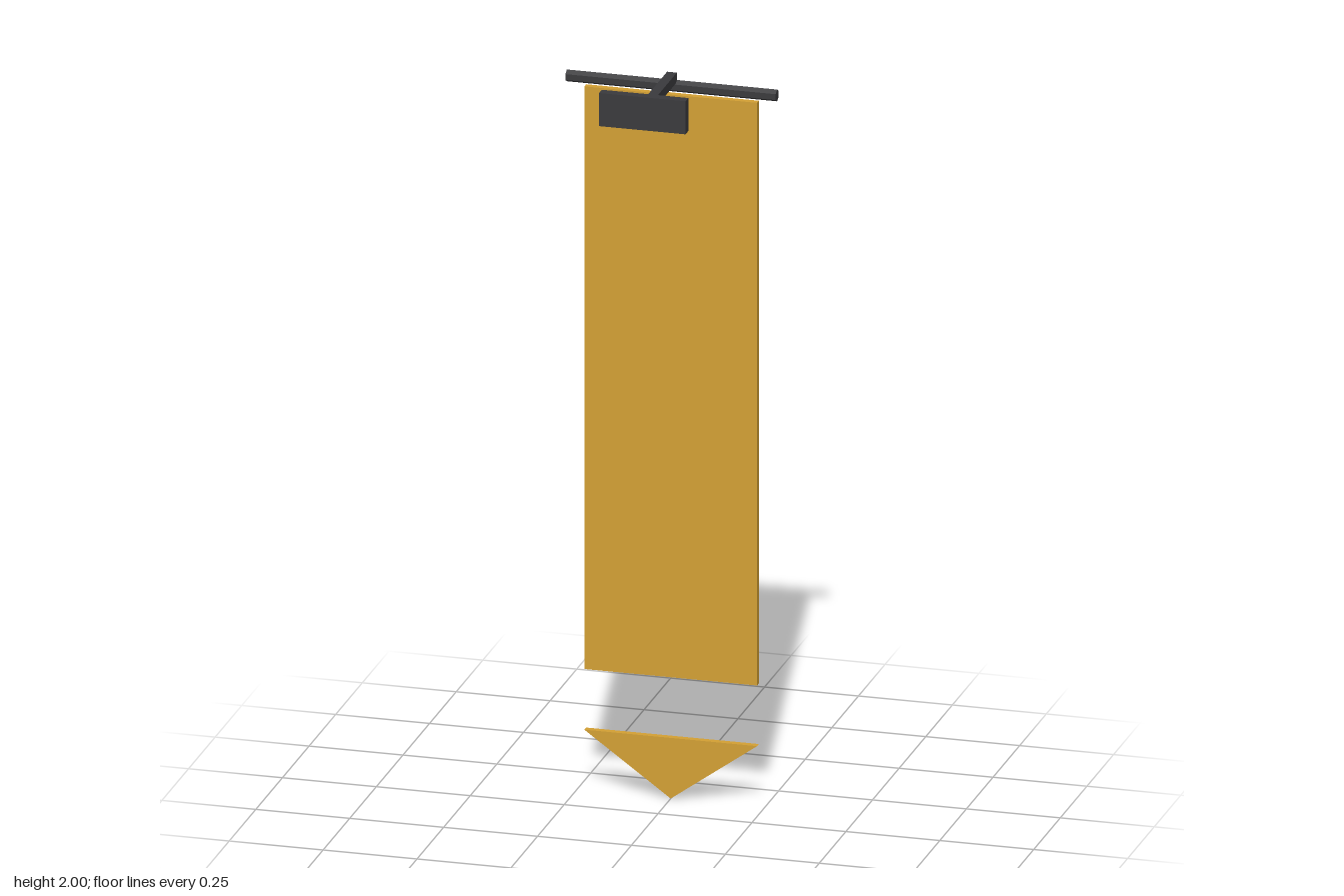
import * as THREE from 'three';

const paint = (color) => new THREE.MeshStandardMaterial({ color, flatShading: true });

export function createModel() {
  const model = new THREE.Group();
  const gold = paint(0xd4a134);
  const iron = paint(0x3a3a3d);
  const silver = paint(0xd3d1cb);

  const add = (name, geometry, material) => {
    const mesh = new THREE.Mesh(geometry, material);
    mesh.name = name;
    model.add(mesh);
    return mesh;
  };

  // Box given by its limits on each axis
  const box = (name, material, [x0, x1], [y0, y1], [z0, z1]) =>
    add(name, new THREE.BoxGeometry(x1 - x0, y1 - y0, z1 - z0), material)
      .position.set((x0 + x1) / 2, (y0 + y1) / 2, (z0 + z1) / 2);

  // Flat plate cut from an outline in x, y
  const plate = (name, material, points, [z0, z1]) => {
    const shape = new THREE.Shape(points.map(([x, y]) => new THREE.Vector2(x, y)));
    const geometry = new THREE.ExtrudeGeometry(shape, { depth: z1 - z0, bevelEnabled: false });
    add(name, geometry, material).position.z = z0;
  };

  // Wall bracket: mounting plate, arm and six-sided hanging rod
  box('wallPlate', iron, [-0.115, 0.115], [1.91, 2], [0.122, 0.148]);
  box('bracketArm', iron, [-0.013, 0.013], [1.946, 1.972], [-0.131, 0.122]);
  const rodGeometry = new THREE.CylinderGeometry(0.016, 0.016, 0.56, 6);
  rodGeometry.rotateY(Math.PI / 6).rotateZ(Math.PI / 2);
  add('hangingRod', rodGeometry, iron).position.set(0, 1.936, -0.131);

  // Banner cloth and the separate pointed tip below it
  const cloth = [-0.136, -0.119];
  box('bannerCloth', gold, [-0.23, 0.23], [0.33, 1.915], cloth);
  plate('bannerTip', gold, [[-0.23, 0.165], [0, 0], [0.23, 0.165]], cloth);

  // Open book emblem on the back: mirrored pages and a spine
  for (const [name, s] of [['leftPage', 1], ['rightPage', -1]]) {
    const outline = [[0.01, 1.385], [0.122, 1.405], [0.16, 1.217], [0.022, 1.2]];
    plate(name, silver, outline.map(([x, y]) => [s * x, y]), [-0.147, -0.134]);
  }
  box('bookSpine', gold, [-0.007, 0.007], [1.2, 1.395], [-0.15, -0.134]);

  // Two stripes under the emblem
  box('longStripe', silver, [-0.21, 0.21], [0.735, 0.759], [-0.147, -0.134]);
  box('shortStripe', silver, [-0.162, 0.162], [0.667, 0.689], [-0.146, -0.134]);

  return model;
}
